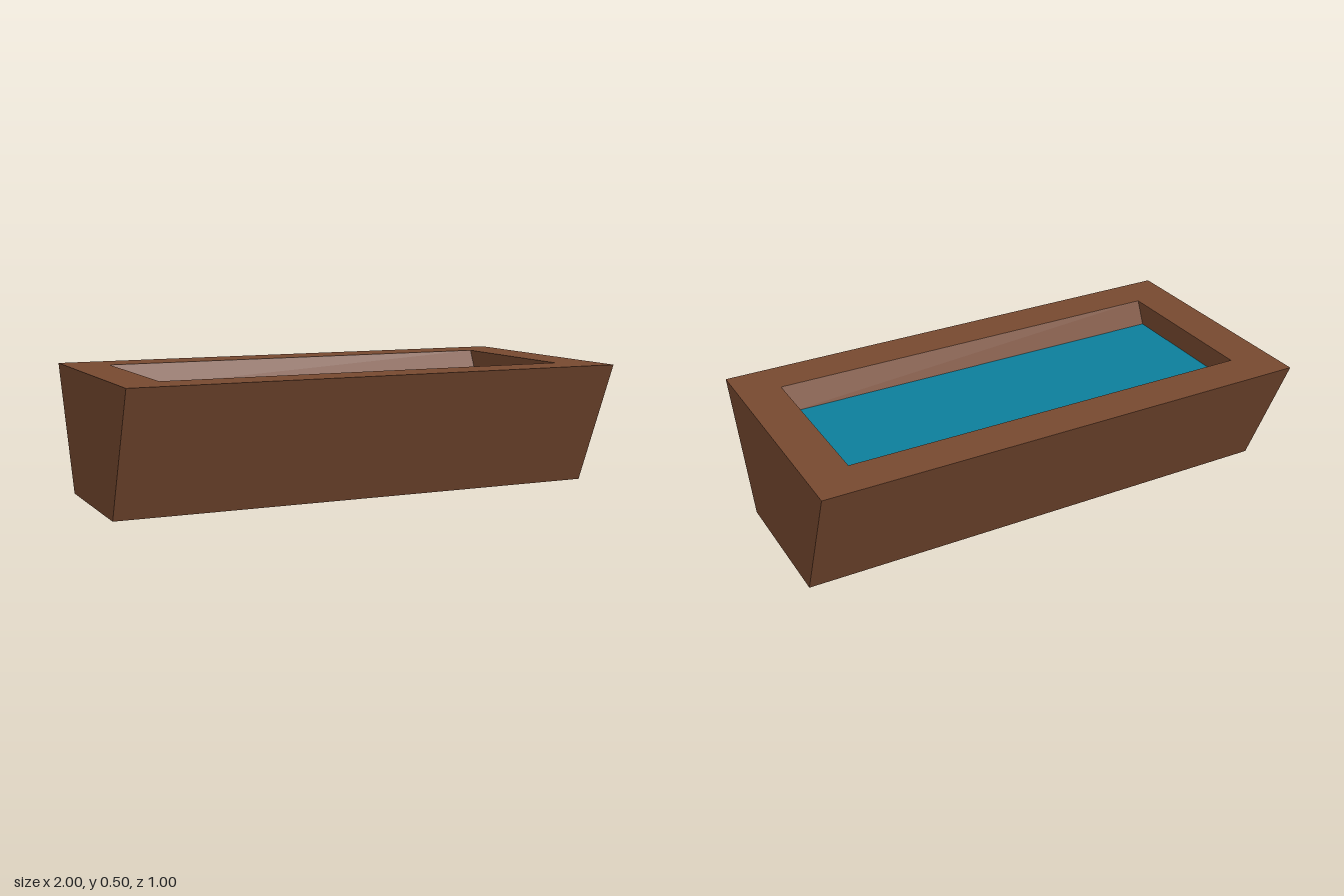
import * as THREE from 'three';

// Four corners of a level rectangle, anticlockwise seen from above
const ring = (x, y, z) => [[-x, y, z], [x, y, z], [x, y, -z], [-x, y, -z]];

// Flat-shaded geometry from a list of quads
function quadGeometry(quads) {
  const positions = quads.flatMap(([a, b, c, d]) => [a, b, c, a, c, d]).flat();
  const geometry = new THREE.BufferGeometry();
  geometry.setAttribute('position', new THREE.Float32BufferAttribute(positions, 3));
  geometry.computeVertexNormals();
  return geometry;
}

export function createModel() {
  const wood = new THREE.MeshStandardMaterial({ color: 0x774930 });
  wood.name = 'brown wood';
  const blue = new THREE.MeshStandardMaterial({ color: 0x0c7f9c });
  blue.name = 'water blue';

  // Rings from the foot, up over the rim and down to the water line
  const rings = [
    ring(1, 0, 0.285),
    ring(1, 0.5, 0.5),
    ring(0.833, 0.5, 0.333),
    ring(0.833, 0.405, 0.29),
  ];

  // Trough: underside plus the walls between neighbouring rings
  const quads = [[...rings[0]].reverse()];
  for (let r = 0; r < rings.length - 1; r++) {
    for (let i = 0; i < 4; i++) {
      const j = (i + 1) % 4;
      quads.push([rings[r][i], rings[r][j], rings[r + 1][j], rings[r + 1][i]]);
    }
  }
  const trough = new THREE.Mesh(quadGeometry(quads), wood);
  trough.name = 'trough';

  // Water surface closing the basin
  const water = new THREE.Mesh(quadGeometry([rings[3]]), blue);
  water.name = 'water';

  const model = new THREE.Group();
  model.name = 'waterTrough';
  model.add(trough, water);
  return model;
}
